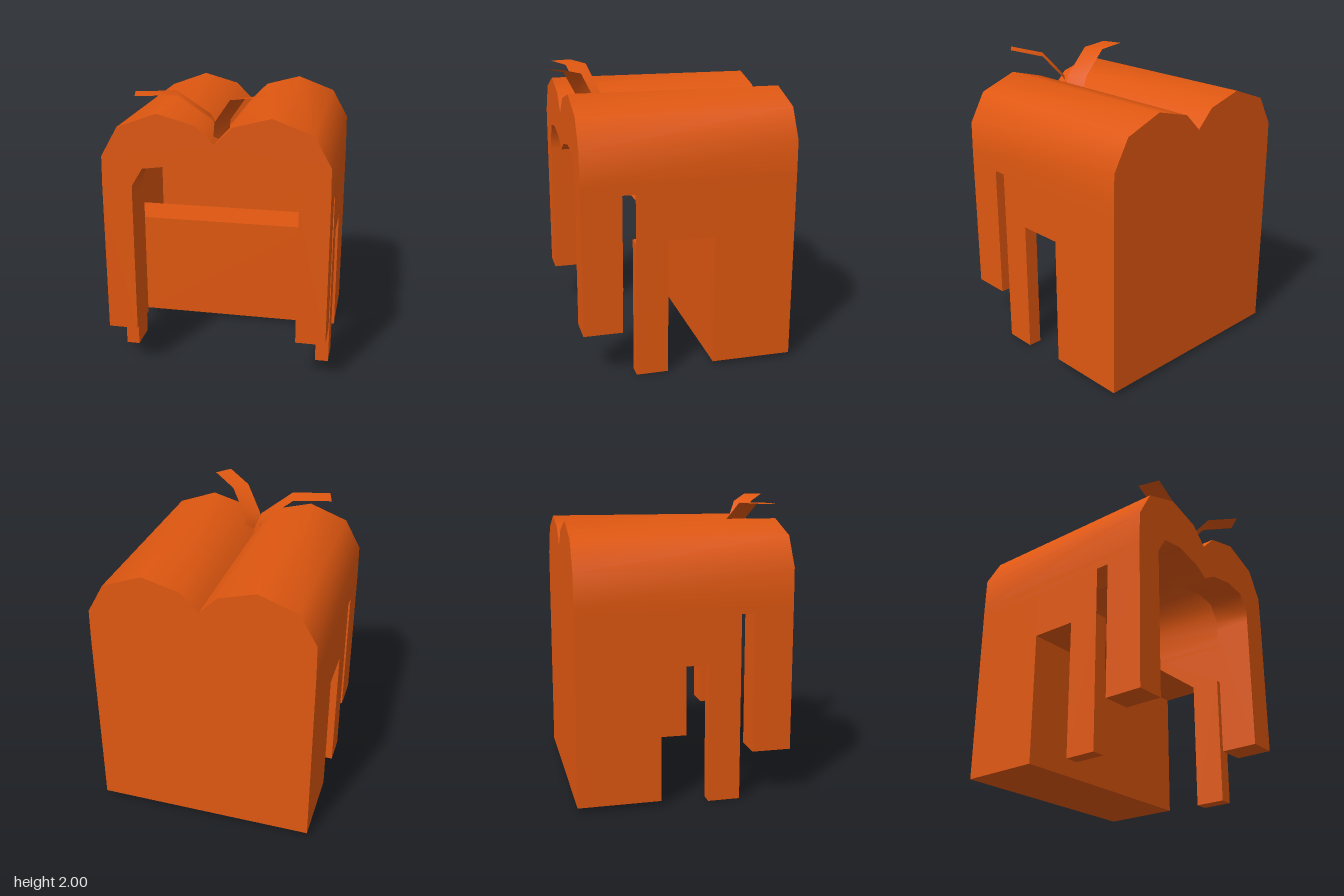
import * as THREE from 'three';

const W = 0.752, BACK = -0.79, FRONT = 0.655, GAP_TOP = 1.258;
const BLOCK_Z = -0.235, FLOOR_Y = 0.93, BLOCK_Y = 0.03, LEG_Y = 0.32, ARCH_Z = 0.39;

// right half of the double-humped outline and of the archway, from centre outwards
const outer = [[0, 1.66], [0.12, 1.78], [0.37, 1.848], [0.635, 1.75], [0.748, 1.55], [W, 1.33], [W, GAP_TOP]];
const inner = [[0, 1.4], [0.115, 1.465], [0.31, 1.503], [0.475, 1.48], [0.548, 1.36], [0.55, 1.28], [0.55, LEG_Y]];

// smooth sheet lofted between two rails of [x, y, z] points
function sheet(a, b) {
  const pos = [], idx = [];
  a.forEach((p, i) => {
    pos.push(...p, ...b[i]);
    if (i) {
      const k = 2 * i;
      idx.push(k - 2, k - 1, k, k - 1, k + 1, k);
    }
  });
  const g = new THREE.BufferGeometry();
  g.setAttribute('position', new THREE.Float32BufferAttribute(pos, 3));
  g.setIndex(idx);
  g.computeVertexNormals();
  return g;
}

// half profile swept along z, on side s (+1 or -1)
function sweep(profile, s, z0, z1) {
  const rail = z => profile.map(([x, y]) => [s * x, y, z]);
  return s > 0 ? sheet(rail(z1), rail(z0)) : sheet(rail(z0), rail(z1));
}

// closed symmetric shape from a half profile
function mirrored(profile) {
  const left = profile.slice(1).reverse().map(([x, y]) => [-x, y]);
  return [...left, ...profile];
}
const toShape = pts => new THREE.Shape(pts.map(p => new THREE.Vector2(...p)));

export function createModel() {
  const model = new THREE.Group();
  const orange = new THREE.MeshStandardMaterial({ color: 0xdf5710, side: THREE.DoubleSide });
  orange.name = 'orange';
  const add = (name, geometry) => {
    const m = new THREE.Mesh(geometry, orange);
    m.name = name;
    model.add(m);
    return m;
  };
  // flat upright panel in the side wall
  const sidePanel = (name, s, z0, z1, y0, y1) =>
    add(name, sweep([[W, y1], [W, y0]], s, z0, z1));
  // level panel
  const level = (name, x0, x1, y, z0, z1) =>
    add(name, sheet([[x0, y, z0], [x1, y, z0]], [[x0, y, z1], [x1, y, z1]]));

  for (const s of [1, -1]) {
    // roof hump running the full length
    add('roof', sweep(outer, s, BACK, FRONT));
    // side wall with its cut-out
    sidePanel('rearSide', s, BACK, BLOCK_Z, BLOCK_Y, GAP_TOP);
    sidePanel('middleSide', s, BLOCK_Z, 0.30, FLOOR_Y, GAP_TOP);
    // front leg, joined to the arch
    sidePanel('frontLegOutside', s, ARCH_Z, FRONT, LEG_Y, GAP_TOP);
    level('frontLegFoot', s * 0.55, s * W, LEG_Y, ARCH_Z, FRONT);
    add('archInside', sweep(inner, s, ARCH_Z, FRONT));
    // slim middle post
    add('middlePost', new THREE.BoxGeometry(0.094, FLOOR_Y, 0.217))
      .position.set(s * (W - 0.047), FLOOR_Y / 2, 0.1915);
  }

  // front and rear faces of the arch
  const archPoints = [...mirrored([...outer, [W, LEG_Y]]), ...mirrored(inner).reverse()];
  for (const z of [FRONT, ARCH_Z]) {
    add('archFace', new THREE.ShapeGeometry(toShape(archPoints))).position.z = z;
  }

  // hollow rear block
  const back = new THREE.ShapeGeometry(toShape(mirrored([...outer, [W, BLOCK_Y]])));
  add('backWall', back.rotateY(Math.PI)).position.z = BACK;
  level('blockBase', -W, W, BLOCK_Y, BACK, BLOCK_Z);
  add('blockFront', new THREE.PlaneGeometry(2 * W, FLOOR_Y - BLOCK_Y))
    .position.set(0, (FLOOR_Y + BLOCK_Y) / 2, BLOCK_Z);
  level('innerFloor', -W, W, FLOOR_Y, BLOCK_Z, 0.083);

  // two bent leaf strips: centre line and half-width vector in x, z
  const leaf = (name, line, hx, hz) => add(name, sheet(
    line.map(([x, y, z]) => [x - hx, y, z - hz]),
    line.map(([x, y, z]) => [x + hx, y, z + hz])));
  leaf('leftLeaf', [[0.012, 1.66, 0.48], [0.025, 1.78, 0.49], [0.145, 1.95, 0.587], [0.322, 2.0, 0.728]], -0.042, 0.052);
  leaf('rightLeaf', [[0, 1.66, 0.424], [-0.055, 1.79, 0.438], [-0.27, 1.952, 0.495], [-0.53, 1.952, 0.565]], 0.02, 0.075);

  return model;
}
